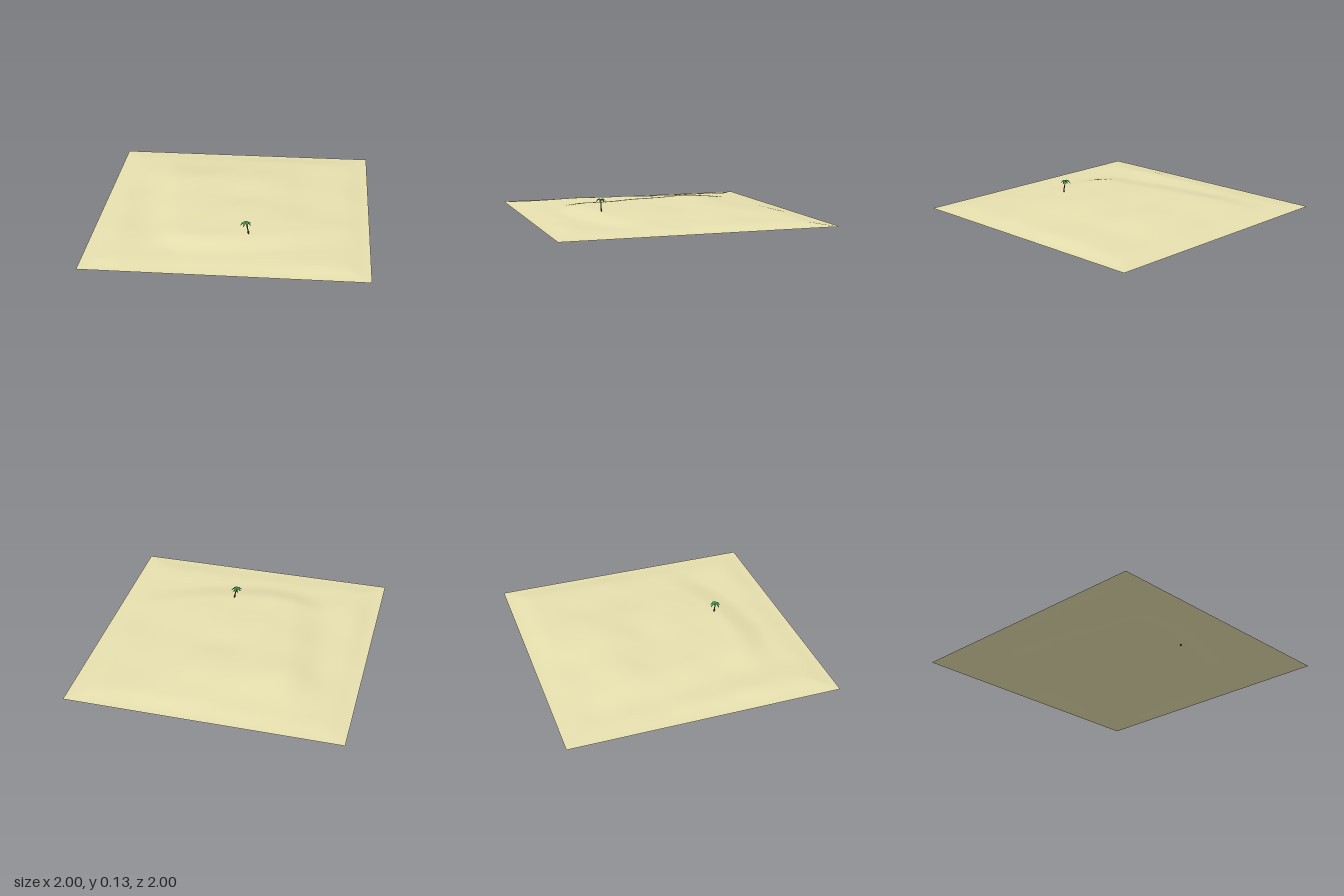
import * as THREE from 'three';

const SIDE = 1.751;   // edge length of the square of sand
const TURN = -0.155;  // its turn about the vertical axis

const smooth = THREE.MathUtils.smoothstep;
const bump = (x, z, cx, cz, rx, rz) => Math.exp(-(((x - cx) / rx) ** 2) - ((z - cz) / rz) ** 2);

// Height of the sand at local (u, v) on the square and (x, z) in the model
function sandHeight(u, v, x, z) {
  // Sheet runs down to the ground along its border
  const border = SIDE / 2 - Math.max(Math.abs(u), Math.abs(v));
  const fall = 1 - (1 - smooth(border, 0, 0.2)) ** 1.5;
  // Central plateau: steep to the left and front, gentle to the right and back
  const left = smooth(x, -0.6, -0.34);
  const right = 1 - smooth(x, 0.15, 0.75);
  const front = 1 - smooth(z + 0.35 * x * x, 0.43, 0.65);
  const back = smooth(z, -0.85, -0.35);
  const plateau = left * right * front * back;
  // Wind ripples and shallow dips
  const ripples = 0.0016 * (Math.sin(9 * x + 4 * z + 1) + Math.sin(13 * z - 5 * x)
    + 0.7 * Math.sin(17 * x + 11 * z) * Math.cos(9 * z - 6 * x));
  const mounds = 0.009 * bump(x, z, -0.78, 0.15, 0.13, 0.4) + 0.009 * bump(x, z, 0.72, -0.2, 0.18, 0.4)
    + 0.007 * bump(x, z, -0.3, -0.35, 0.15, 0.2) - 0.008 * bump(x, z, 0.12, -0.1, 0.18, 0.12);
  return Math.max(0, fall * (0.014 + 0.033 * plateau + mounds + ripples));
}

function makeSand() {
  const geo = new THREE.PlaneGeometry(SIDE, SIDE, 64, 64).rotateX(-Math.PI / 2);
  const p = geo.attributes.position;
  const c = Math.cos(TURN), s = Math.sin(TURN);
  for (let i = 0; i < p.count; i++) {
    const u = p.getX(i), v = p.getZ(i);
    const x = u * c + v * s, z = v * c - u * s;
    p.setXYZ(i, x, sandHeight(u, v, x, z), z);
  }
  geo.computeVertexNormals();
  const sand = new THREE.Mesh(geo, new THREE.MeshStandardMaterial({ color: 0xe6dfae, side: THREE.DoubleSide }));
  sand.name = 'sand';
  return sand;
}

// Arching leaf along +x with a raised midrib and pointed tip
function makeFrondGeometry(length, width) {
  const geo = new THREE.PlaneGeometry(1, 1, 6, 2).rotateX(-Math.PI / 2);
  const p = geo.attributes.position;
  for (let i = 0; i < p.count; i++) {
    const t = p.getX(i) + 0.5, side = p.getZ(i) * 2;
    const half = 0.5 * width * (0.25 + 1.2 * Math.sin(Math.PI * Math.min(1, t * 0.9 + 0.1)) ** 0.8) * (t > 0.99 ? 0.1 : 1);
    const y = 0.008 * Math.sin(Math.PI * t) - 0.014 * t * t - 0.4 * half * Math.abs(side);
    p.setXYZ(i, t * length, y, side * half);
  }
  geo.computeVertexNormals();
  return geo;
}

function makePalm() {
  const palm = new THREE.Group();
  palm.name = 'palmTree';
  const bark = new THREE.MeshStandardMaterial({ color: 0x5e3d2a });
  const leaf = new THREE.MeshStandardMaterial({ color: 0x3f9a50, side: THREE.DoubleSide });

  // Leaning trunk, tapered towards the crown
  const path = new THREE.CatmullRomCurve3([
    new THREE.Vector3(0.053, 0.035, 0.434),
    new THREE.Vector3(0.047, 0.075, 0.435),
    new THREE.Vector3(0.036, 0.12, 0.432)]);
  const rings = 8, sides = 7;
  const geo = new THREE.TubeGeometry(path, rings, 0.0045, sides);
  const p = geo.attributes.position;
  const centre = new THREE.Vector3(), point = new THREE.Vector3();
  for (let i = 0; i < p.count; i++) {
    const t = Math.floor(i / (sides + 1)) / rings;
    path.getPointAt(t, centre);
    point.fromBufferAttribute(p, i).sub(centre).multiplyScalar(1 - 0.4 * t).add(centre);
    p.setXYZ(i, point.x, point.y, point.z);
  }
  geo.computeVertexNormals();
  const trunk = new THREE.Mesh(geo, bark);
  trunk.name = 'trunk';
  palm.add(trunk);

  // Crown of fronds
  const crown = new THREE.Group();
  crown.name = 'crown';
  crown.position.set(0.036, 0.12, 0.432);
  const frondGeo = makeFrondGeometry(0.039, 0.009);
  for (let i = 0; i < 8; i++) {
    const frond = new THREE.Mesh(frondGeo, leaf);
    frond.name = 'frond';
    frond.rotation.y = (i / 8) * Math.PI * 2 + 0.2;
    frond.scale.setScalar(i % 2 ? 0.9 : 1);
    crown.add(frond);
  }
  palm.add(crown);
  return palm;
}

export function createModel() {
  const model = new THREE.Group();
  model.name = 'desertIsland';
  model.add(makeSand(), makePalm());
  return model;
}
